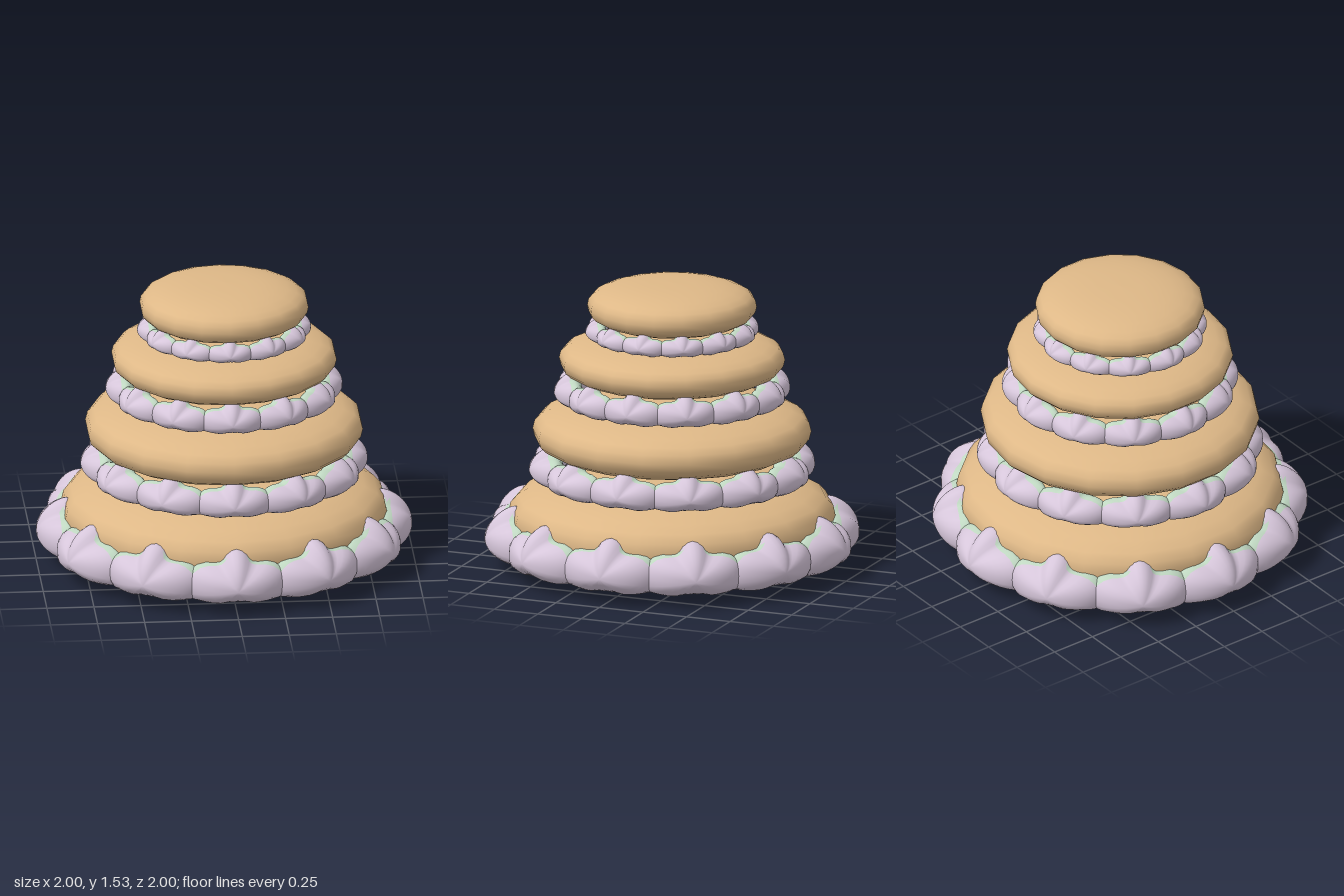
import * as THREE from 'three';
import { mergeVertices } from 'three/addons/utils/BufferGeometryUtils.js';

const sponge = new THREE.MeshStandardMaterial({ color: 0xdeb887 });
sponge.name = 'sponge tan';
const cream = new THREE.MeshStandardMaterial({ color: 0xd6c6da });
cream.name = 'lilac cream';
const mint = new THREE.MeshStandardMaterial({ color: 0xc0d8c2 });
mint.name = 'mint cream';

// Flattened cake layer with a softly rounded rim
function cakeLayer(radius, bottom, middle, top) {
  const points = [];
  const steps = 16;
  for (let i = 0; i <= steps; i++) {
    const a = -Math.PI / 2 + (Math.PI * i) / steps;
    const c = Math.max(0, Math.cos(a)), s = Math.sin(a);
    const half = s < 0 ? middle - bottom : top - middle;
    points.push(new THREE.Vector2(
      radius * Math.pow(c, 0.8),
      middle + half * Math.sign(s) * Math.pow(Math.abs(s), 0.8)
    ));
  }
  points[0].x = points[steps].x = 0;
  return new THREE.Mesh(new THREE.LatheGeometry(points, 18), sponge);
}

// Outline of a dollop: [degrees from straight up, reach]
const outline = [
  [0, 0.187], [14, 0.178], [32, 0.145], [46, 0.168], [60, 0.225], [78, 0.272],
  [105, 0.27], [120, 0.195], [150, 0.112], [180, 0.098],
];

function reach(deg) {
  for (let i = 1; i < outline.length; i++) {
    const [a, ra] = outline[i - 1], [b, rb] = outline[i];
    if (deg <= b) return THREE.MathUtils.lerp(ra, rb, (deg - a) / (b - a));
  }
  return outline[outline.length - 1][1];
}

const upAngle = (x, y) => Math.abs(THREE.MathUtils.radToDeg(Math.atan2(x, y)));

// Lobed dollop facing +z, with mint in the notches beside its top lobe
function dollopGeometry() {
  let geo = new THREE.SphereGeometry(1, 40, 18);
  geo.rotateX(Math.PI / 2);
  geo.deleteAttribute('uv');
  geo.deleteAttribute('normal');
  geo = mergeVertices(geo, 1e-4);
  const pos = geo.attributes.position;

  // Sort the faces into cream and mint while the form is still a unit sphere
  const creamFaces = [], mintFaces = [];
  for (let i = 0; i < geo.index.count; i += 3) {
    const face = [0, 1, 2].map((k) => geo.index.getX(i + k));
    const mean = (get) => face.reduce((sum, v) => sum + get(v), 0) / 3;
    const x = mean((v) => pos.getX(v)), y = mean((v) => pos.getY(v)), z = mean((v) => pos.getZ(v));
    const a = upAngle(x, y);
    const isMint = a > 22 && a < 80 && z < 0.36;
    (isMint ? mintFaces : creamFaces).push(...face);
  }

  for (let i = 0; i < pos.count; i++) {
    const x = pos.getX(i), y = pos.getY(i), z = pos.getZ(i);
    const r = reach(upAngle(x, y));
    const depth = z > 0 ? 0.16 * Math.pow(z, 1.3) : 0.08 * z;
    pos.setXYZ(i, x * r, y * r, depth);
  }
  geo.setIndex([...creamFaces, ...mintFaces]);
  geo.clearGroups();
  geo.addGroup(0, creamFaces.length, 0);
  geo.addGroup(creamFaces.length, mintFaces.length, 1);
  geo.computeVertexNormals();
  return geo;
}

// Ring of twelve dollops around a layer
function creamRing(geo, scale, bottom, height) {
  const ring = new THREE.Group();
  const count = 12;
  const tall = height / 0.285;
  for (let i = 0; i < count; i++) {
    const a = (i / count) * Math.PI * 2;
    const dollop = new THREE.Mesh(geo, [cream, mint]);
    dollop.name = 'creamDollop';
    dollop.scale.set(scale, tall, scale);
    dollop.position.set(0.84 * scale * Math.sin(a), bottom + 0.098 * tall, 0.84 * scale * Math.cos(a));
    dollop.rotation.y = a;
    ring.add(dollop);
  }
  return ring;
}

export function createModel() {
  const model = new THREE.Group();
  model.name = 'tieredCake';
  const dollop = dollopGeometry();

  // Layers: radius, bottom, middle, top; rings: scale, bottom, height
  const tiers = [
    { layer: [0.87, 0, 0.26, 0.49], ring: [1, 0.055, 0.285] },
    { layer: [0.74, 0.56, 0.73, 0.9], ring: [0.763, 0.46, 0.2] },
    { layer: [0.6, 0.98, 1.12, 1.25], ring: [0.63, 0.89, 0.175] },
    { layer: [0.45, 1.29, 1.41, 1.535], ring: [0.462, 1.235, 0.12] },
  ];
  tiers.forEach(({ layer, ring }, i) => {
    const cake = cakeLayer(...layer);
    cake.name = `cakeLayer${i + 1}`;
    const trim = creamRing(dollop, ...ring);
    trim.name = `creamRing${i + 1}`;
    model.add(cake, trim);
  });
  return model;
}
